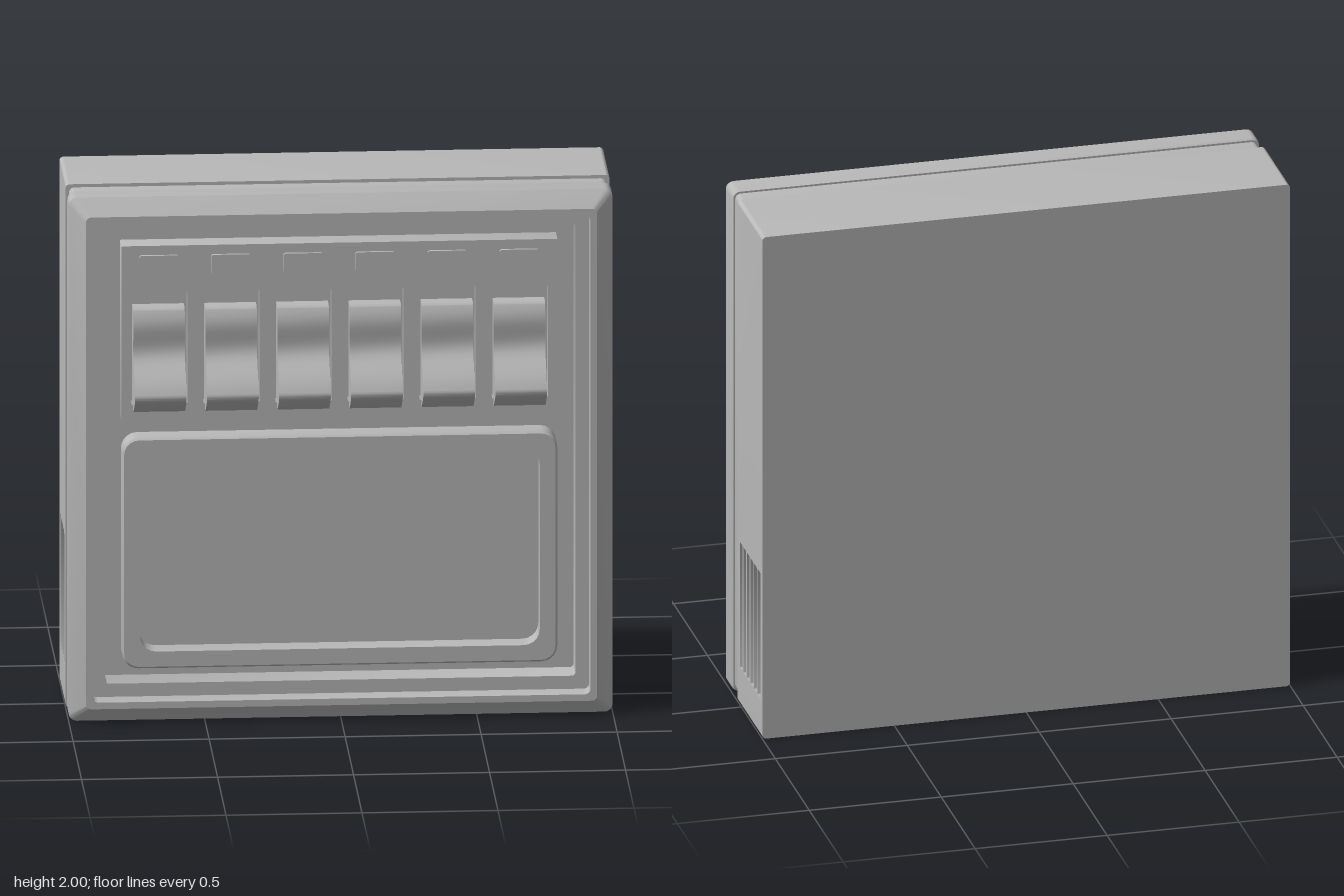
import * as THREE from 'three';
import { toCreasedNormals } from 'three/addons/utils/BufferGeometryUtils.js';

// Rounded rectangle path around a centre
function roundRect(path, cx, cy, hw, hh, r) {
  path.moveTo(cx + hw, cy - hh + r);
  path.lineTo(cx + hw, cy + hh - r);
  path.absarc(cx + hw - r, cy + hh - r, r, 0, Math.PI / 2);
  path.lineTo(cx - hw + r, cy + hh);
  path.absarc(cx - hw + r, cy + hh - r, r, Math.PI / 2, Math.PI);
  path.lineTo(cx - hw, cy - hh + r);
  path.absarc(cx - hw + r, cy - hh + r, r, Math.PI, Math.PI * 1.5);
  path.lineTo(cx + hw - r, cy - hh);
  path.absarc(cx + hw - r, cy - hh + r, r, Math.PI * 1.5, Math.PI * 2);
  return path;
}

// Skin through rounded-rectangle rings [halfWidth, halfHeight, radius, z]; the last ring is capped
function loftRings(rings, cx, cy) {
  const seg = 5, n = 4 * (seg + 1), pos = [], idx = [];
  for (const [hw, hh, r, z] of rings) {
    for (let c = 0; c < 4; c++) {
      const sx = c === 0 || c === 3 ? 1 : -1, sy = c < 2 ? 1 : -1;
      for (let k = 0; k <= seg; k++) {
        const a = (c + k / seg) * Math.PI / 2;
        pos.push(cx + sx * (hw - r) + r * Math.cos(a), cy + sy * (hh - r) + r * Math.sin(a), z);
      }
    }
  }
  for (let i = 0; i < rings.length - 1; i++) {
    for (let j = 0; j < n; j++) {
      const a = i * n + j, b = i * n + (j + 1) % n;
      idx.push(a, b, b + n, a, b + n, a + n);
    }
  }
  const last = (rings.length - 1) * n, centre = pos.length / 3;
  pos.push(cx, cy, rings[rings.length - 1][3]);
  for (let j = 0; j < n; j++) idx.push(last + j, last + (j + 1) % n, centre);
  const geo = new THREE.BufferGeometry();
  geo.setAttribute('position', new THREE.Float32BufferAttribute(pos, 3));
  geo.setIndex(idx);
  return toCreasedNormals(geo, 0.5);
}

function extrude(shape, depth) {
  const geo = new THREE.ExtrudeGeometry(shape, { depth, bevelEnabled: false, curveSegments: 6 });
  return toCreasedNormals(geo, 0.5);
}

export function createModel() {
  const model = new THREE.Group();
  const grey = new THREE.MeshStandardMaterial({ color: 0xb8b8b8 });
  grey.name = 'plain grey';
  const add = (name, geo, x = 0, y = 0, z = 0) => {
    const mesh = new THREE.Mesh(geo, grey);
    mesh.name = name;
    mesh.position.set(x, y, z);
    model.add(mesh);
    return mesh;
  };

  // Rear housing, notched on both sides to take the vent grilles
  const back = -0.31, bodyDepth = 0.365, r = 0.015;
  const notchX = 0.97, y0 = 0.1, y1 = 0.7;
  const body = new THREE.Shape();
  body.moveTo(1, y1);
  body.lineTo(1, 2 - r);
  body.absarc(1 - r, 2 - r, r, 0, Math.PI / 2);
  body.absarc(-1 + r, 2 - r, r, Math.PI / 2, Math.PI);
  body.lineTo(-1, y1);
  body.lineTo(-notchX, y1);
  body.lineTo(-notchX, y0);
  body.lineTo(-1, y0);
  body.absarc(-1 + r, r, r, Math.PI, Math.PI * 1.5);
  body.absarc(1 - r, r, r, Math.PI * 1.5, Math.PI * 2);
  body.lineTo(1, y0);
  body.lineTo(notchX, y0);
  body.lineTo(notchX, y1);
  add('rearHousing', extrude(body, bodyDepth), 0, 0, back);

  // Slotted grilles, one on each side
  const grille = new THREE.Shape();
  grille.moveTo(-0.055, y0);
  grille.lineTo(0.31, y0);
  grille.lineTo(0.31, y1);
  grille.lineTo(-0.055, y1);
  for (let i = 0; i < 6; i++) {
    grille.holes.push(roundRect(new THREE.Path(), i * 0.052, 0.4, 0.019, 0.25, 0.004));
  }
  for (const [name, x] of [['leftVentGrille', notchX], ['rightVentGrille', -1]]) {
    add(name, extrude(grille, 1 - notchX), x).rotation.y = Math.PI / 2;
  }

  // Front cover: groove, chamfered rim and stepped recess
  const square = (h, rad, z) => [h, h, rad, z];
  add('frontCover', loftRings([
    square(0.988, 0.02, 0.05), square(0.988, 0.02, 0.137), square(0.995, 0.025, 0.137),
    square(1, 0.03, 0.15), square(1, 0.03, 0.23), square(0.94, 0.02, 0.29),
    square(0.915, 0.02, 0.29), square(0.915, 0.02, 0.215), square(0.865, 0.015, 0.215),
    square(0.865, 0.015, 0.1),
  ], 0, 1));

  // Lower display surround with a sunken panel
  add('displayFrame', loftRings([
    [0.8, 0.44, 0.06, 0.1], [0.8, 0.44, 0.06, 0.18], [0.793, 0.433, 0.055, 0.188],
    [0.735, 0.375, 0.06, 0.188], [0.735, 0.375, 0.06, 0.103],
  ], 0, 0.622));

  // Switch plate with six bays
  const columns = Array.from({ length: 6 }, (_, i) => (i - 2.5) * 0.265 - 0.003);
  const plate = roundRect(new THREE.Shape(), 0, 1.463, 0.803, 0.335, 0.005);
  for (const x of columns) {
    plate.holes.push(roundRect(new THREE.Path(), x, 1.408, 0.105, 0.217, 0.01));
  }
  add('switchPlate', extrude(plate, 0.088), 0, 0, 0.1);
  add('switchBayFloor', new THREE.BoxGeometry(1.58, 0.5, 0.02), 0, 1.408, 0.12);

  // Rocker profile drawn as (z, y), concave face with a rounded lower lip
  const rocker = new THREE.Shape();
  rocker.moveTo(0.12, 1.56);
  rocker.lineTo(0.12, 1.2);
  rocker.lineTo(0.19, 1.172);
  rocker.lineTo(0.215, 1.172);
  rocker.lineTo(0.298, 1.228);
  rocker.quadraticCurveTo(0.315, 1.245, 0.3, 1.268);
  rocker.bezierCurveTo(0.25, 1.35, 0.195, 1.36, 0.2, 1.42);
  rocker.bezierCurveTo(0.205, 1.48, 0.215, 1.5, 0.19, 1.55);
  rocker.quadraticCurveTo(0.185, 1.56, 0.175, 1.56);
  const rockerGeo = extrude(rocker, 0.19);
  rockerGeo.rotateY(-Math.PI / 2);
  const tabGeo = loftRings([
    [0.073, 0.04, 0.01, 0.188], [0.073, 0.04, 0.01, 0.2],
  ], 0, 1.723);

  columns.forEach((x, i) => {
    add('rockerSwitch' + (i + 1), rockerGeo, x + 0.095);
    add('indicatorTab' + (i + 1), tabGeo, x);
  });

  return model;
}
